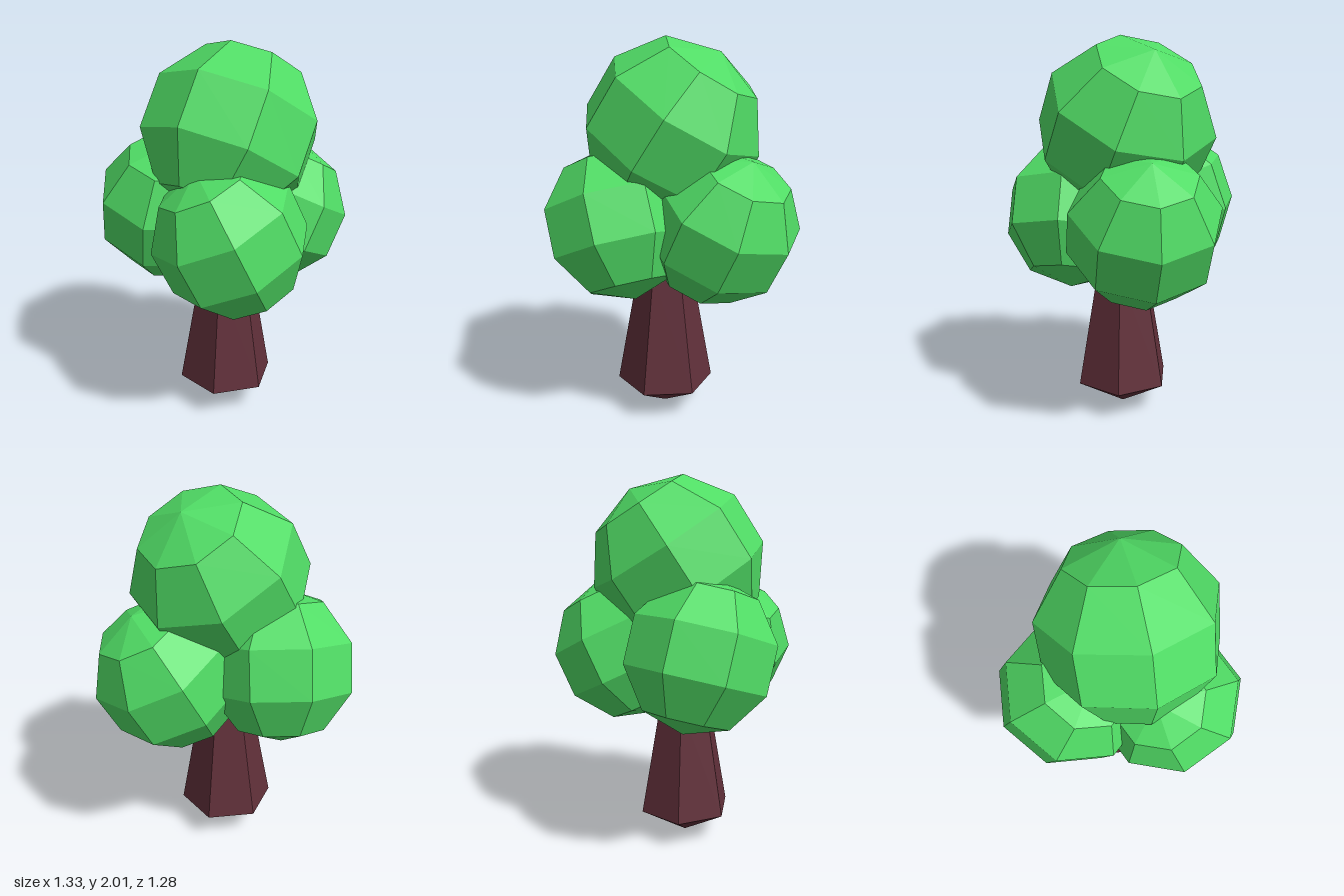
import * as THREE from 'three';

const leafGreen = new THREE.MeshStandardMaterial({ color: 0x50dc65 });
const barkBrown = new THREE.MeshStandardMaterial({ color: 0x61303a });

// Faceted mesh: every face gets its own normal
function faceted(geometry, material, name) {
  const flat = geometry.toNonIndexed();
  flat.computeVertexNormals();
  const mesh = new THREE.Mesh(flat, material);
  mesh.name = name;
  return mesh;
}

// Coarse leaf ball: the pole sets its tilt, the meridian its turn about the pole
function leafBall(name, radius, center, pole, meridian) {
  const y = new THREE.Vector3(...pole).normalize();
  const x = new THREE.Vector3(...meridian);
  x.addScaledVector(y, -x.dot(y)).normalize();
  const z = new THREE.Vector3().crossVectors(x, y);
  const ball = faceted(new THREE.SphereGeometry(radius, 8, 5), leafGreen, name);
  ball.quaternion.setFromRotationMatrix(new THREE.Matrix4().makeBasis(x, y, z));
  ball.position.set(...center);
  return ball;
}

export function createModel() {
  const tree = new THREE.Group();
  tree.name = 'tree';

  // Six-sided tapering trunk, pointed at both ends
  const profile = [[0, 0], [0.26, 0.155], [0.145, 0.79], [0, 0.9]];
  const trunk = faceted(
    new THREE.LatheGeometry(profile.map(([r, h]) => new THREE.Vector2(r, h)), 6),
    barkBrown, 'trunk');
  trunk.position.set(0.065, 0, 0.023);
  tree.add(trunk);

  // Crown of four tilted leaf balls
  tree.add(
    leafBall('topFoliage', 0.467, [0.075, 1.544, -0.01], [0.2, 0.84, -0.505], [0.262, -0.012, 0.09]),
    leafBall('frontFoliage', 0.4, [0.147, 1.075, 0.266], [-0.385, 0.9, 0.19], [0.42, 0, 0.906]),
    leafBall('rightFoliage', 0.405, [-0.262, 1.12, -0.025], [0.15, 0.94, 0.3], [-0.265, 0, -0.3]),
    leafBall('backFoliage', 0.4, [0.265, 1.075, -0.25], [0.32, 0.89, -0.32], [0.707, 0, -0.707]),
  );
  return tree;
}
